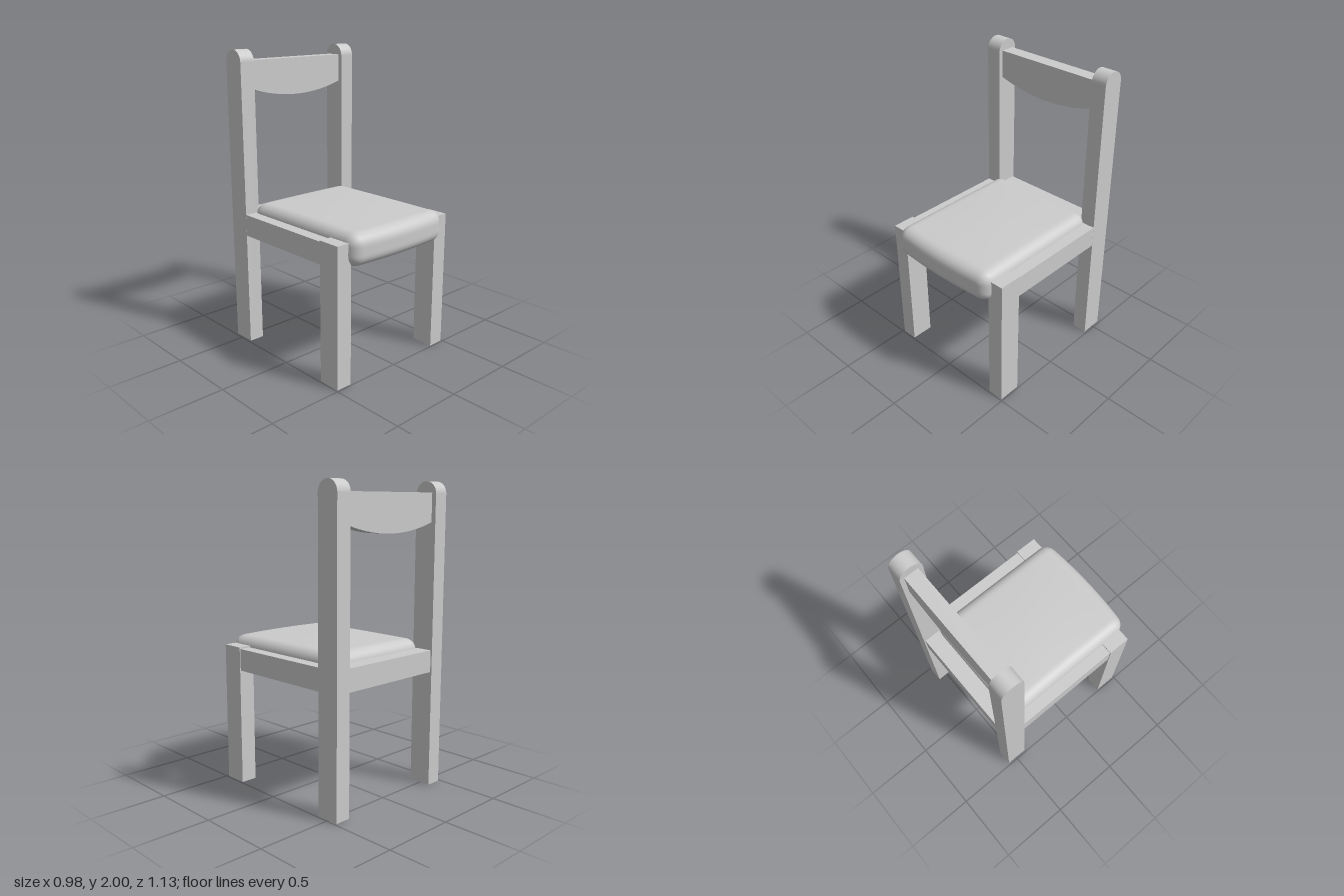
import * as THREE from 'three';
import { mergeVertices } from 'three/addons/utils/BufferGeometryUtils.js';

const material = new THREE.MeshStandardMaterial({ color: 0xcccccc });

function addMesh(group, name, geometry) {
  const mesh = new THREE.Mesh(geometry, material);
  mesh.name = name;
  group.add(mesh);
  return mesh;
}

// Box given by its minimum and maximum on each axis
function addBox(group, name, [x0, x1], [y0, y1], [z0, z1]) {
  const mesh = addMesh(group, name, new THREE.BoxGeometry(x1 - x0, y1 - y0, z1 - z0));
  mesh.position.set((x0 + x1) / 2, (y0 + y1) / 2, (z0 + z1) / 2);
}

// Back post: side profile with a round top, extruded across its width
function postGeometry(width, depth, height) {
  const r = depth / 2;
  const shape = new THREE.Shape();
  shape.moveTo(-r, 0);
  shape.lineTo(r, 0);
  shape.lineTo(r, height - r);
  shape.absarc(0, height - r, r, 0, Math.PI, false);
  shape.closePath();
  const geometry = new THREE.ExtrudeGeometry(shape, { depth: width, bevelEnabled: false, curveSegments: 24 });
  return geometry.translate(0, 0, -width / 2).rotateY(Math.PI / 2);
}

// Backrest: straight top edge, lower edge sagging in a curve
function backrestGeometry(depth) {
  const shape = new THREE.Shape();
  shape.moveTo(-0.39, 1.93);
  shape.lineTo(-0.39, 1.748);
  shape.quadraticCurveTo(0, 1.622, 0.39, 1.748);
  shape.lineTo(0.39, 1.93);
  shape.closePath();
  return new THREE.ExtrudeGeometry(shape, { depth, bevelEnabled: false, curveSegments: 24 });
}

// Cushion: rounded block with a bowed front and a slightly domed top
function cushionGeometry() {
  const half = new THREE.Vector3(0.408, 0.105, 0.495);
  const r = 0.075;
  let geometry = new THREE.BoxGeometry(half.x * 2, half.y * 2, half.z * 2, 48, 16, 56);
  geometry.deleteAttribute('uv');
  geometry.deleteAttribute('normal');
  geometry = mergeVertices(geometry);
  const inner = half.clone().subScalar(r);
  const outer = inner.clone().negate();
  const pos = geometry.attributes.position;
  const p = new THREE.Vector3();
  for (let i = 0; i < pos.count; i++) {
    p.fromBufferAttribute(pos, i);
    const core = p.clone().clamp(outer, inner);
    p.sub(core).setLength(r).add(core);
    const across = 1 - (p.x / half.x) ** 2;
    const along = 1 - (p.z / half.z) ** 2;
    if (p.z > 0) p.z += 0.025 * across * p.z / half.z;
    if (p.y > 0) p.y += 0.012 * across * along * p.y / half.y;
    pos.setXYZ(i, p.x, p.y, p.z);
  }
  geometry.computeVertexNormals();
  return geometry;
}

export function createModel() {
  const chair = new THREE.Group();
  chair.name = 'chair';

  // Posts, legs and side rails, mirrored left and right
  for (const [side, s] of [['left', 1], ['right', -1]]) {
    const span = (a, b) => (s > 0 ? [a, b] : [-b, -a]);
    const post = addMesh(chair, `${side}BackPost`, postGeometry(0.105, 0.155, 2));
    post.position.set(s * 0.433, 0, -0.4925);
    addBox(chair, `${side}FrontLeg`, span(0.38, 0.49), [0, 0.932], [0.335, 0.49]);
    addBox(chair, `${side}SideRail`, span(0.385, 0.485), [0.777, 0.922], [-0.42, 0.34]);
  }

  // Cross members at the back
  addBox(chair, 'backRail', [-0.39, 0.39], [0.777, 0.922], [-0.56, -0.445]);
  addMesh(chair, 'backrest', backrestGeometry(0.095)).position.z = -0.54;

  // Seat slats under the cushion
  const slats = [[0.235, 0.335], [0.088, 0.17], [-0.04, 0.04], [-0.24, -0.12], [-0.41, -0.295]];
  slats.forEach((z, i) => addBox(chair, `seatSlat${i + 1}`, [-0.388, 0.388], [0.757, 0.78], z));

  addMesh(chair, 'seatCushion', cushionGeometry()).position.set(0, 0.878, 0.045);
  return chair;
}
